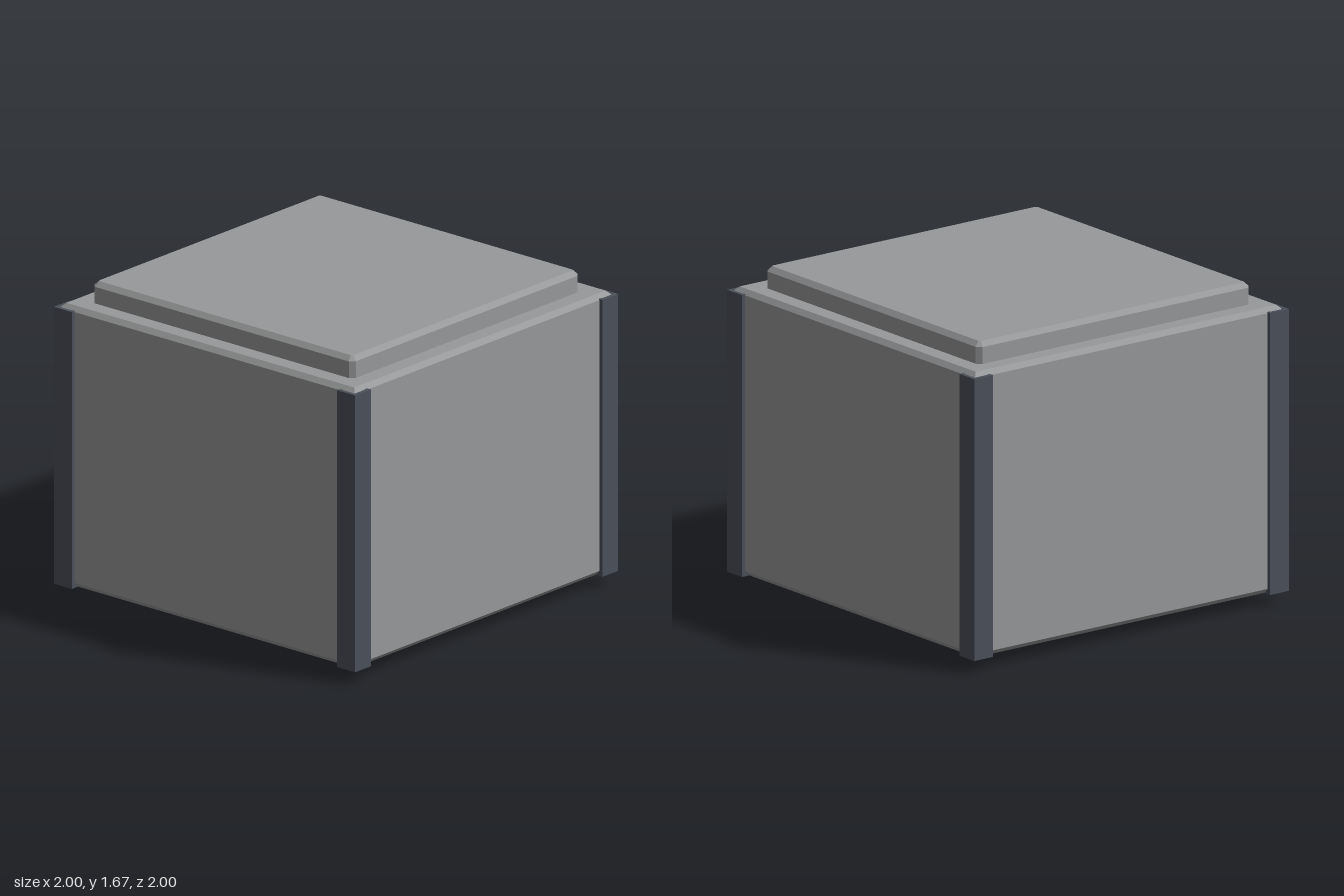
import * as THREE from 'three';

export function createModel() {
  const model = new THREE.Group();
  const mat = (name, color, side = THREE.FrontSide) => {
    const m = new THREE.MeshStandardMaterial({ color, flatShading: true, side });
    m.name = name;
    return m;
  };
  const concrete = mat('concrete grey', 0x98999a);
  const steel = mat('slate steel', 0x4b505a);
  const stone = mat('rubble stone', 0x787b7b);
  const debris = mat('broken underside', 0x868787, THREE.DoubleSide);
  const rust = mat('rusty iron', 0x52291e);

  const add = (name, geometry, material, x = 0, y = 0, z = 0) => {
    const mesh = new THREE.Mesh(geometry, material);
    mesh.name = name;
    mesh.position.set(x, y, z);
    model.add(mesh);
    return mesh;
  };
  // repeatable noise from a position, 0 to 1
  const hash = (x, y, z) => {
    const s = Math.sin(x * 127.1 + y * 311.7 + z * 74.7) * 43758.5453;
    return s - Math.floor(s);
  };
  const loop = (points) => points.map(([x, y]) => new THREE.Vector2(x, y));
  const square = (r) => loop([[-r, -r], [r, -r], [r, r], [-r, r]]);

  // hollow block, open below, with chamfered top and bottom edges
  const profile = loop([
    [0, 1.45], [0.95, 1.45], [0.95, 0.067], [0.957, 0.067], [0.98, 0.092],
    [0.98, 1.53], [0.955, 1.555], [0, 1.555],
  ].map(([r, y]) => [r * Math.SQRT2, y]));
  add('blockShell', new THREE.LatheGeometry(profile, 4).rotateY(Math.PI / 4), concrete);

  // raised top slab with bevelled edges
  const b = 0.025, h = 0.868 - b, c = h - 0.01;
  const outline = new THREE.Shape(loop([
    [-c, -h], [c, -h], [h, -c], [h, c], [c, h], [-c, h], [-h, c], [-h, -c],
  ]));
  const slab = new THREE.ExtrudeGeometry(outline, {
    depth: 0.14 - 2 * b, bevelEnabled: true, bevelSegments: 1, bevelSize: b, bevelThickness: b,
  });
  slab.rotateX(-Math.PI / 2);
  add('topSlab', slab, concrete, 0, 1.528 + b, 0);

  // hollow square corner posts
  const tube = new THREE.Shape(square(0.06));
  tube.holes.push(new THREE.Path(square(0.04)));
  const postGeometry = new THREE.ExtrudeGeometry(tube, { depth: 1.47, bevelEnabled: false });
  postGeometry.rotateX(-Math.PI / 2);
  for (const x of [-0.94, 0.94]) {
    for (const z of [-0.94, 0.94]) {
      add('cornerPost', postGeometry, steel, x, 0.065, z);
    }
  }

  // jagged broken surface inside the open bottom, with a torn rim
  const sheet = new THREE.PlaneGeometry(1.9, 1.9, 7, 7).rotateX(Math.PI / 2);
  const p = sheet.attributes.position;
  for (let i = 0; i < p.count; i++) {
    const x = p.getX(i), z = p.getZ(i);
    const inner = Math.max(Math.abs(x), Math.abs(z)) < 0.9;
    const corner = Math.pow(Math.abs(x * z), 3) * 0.25;
    const wander = inner ? 0.22 : 0;
    p.setXYZ(i,
      x + (hash(x, 1, z) - 0.5) * wander,
      0.09 + hash(x, 2, z) * (inner ? 0.22 : 0.28) + corner,
      z + (hash(x, 3, z) - 0.5) * wander);
  }
  add('brokenUnderside', sheet, debris);

  // rubble: x, z, radius
  const rocks = [
    [0.72, -0.45, 0.18], [0.7, -0.77, 0.09], [0.14, -0.53, 0.1], [0.06, -0.77, 0.09],
    [-0.16, -0.8, 0.1], [-0.54, -0.73, 0.18], [-0.75, -0.41, 0.14], [-0.55, -0.31, 0.09],
    [-0.54, 0.37, 0.19], [0.16, 0.42, 0.18], [0.3, 0.66, 0.16], [0.48, 0.74, 0.12],
    [0.76, 0.29, 0.07], [0.74, 0.07, 0.11], [0.63, -0.25, 0.17], [0.27, 0, 0.12],
    [-0.08, 0.06, 0.12], [-0.2, 0.62, 0.14], [-0.62, 0.48, 0.12], [0.56, 0, 0.13],
    [-0.78, 0.6, 0.1], [0, 0.42, 0.12],
  ];
  rocks.forEach(([x, z, r], n) => {
    // one corner of each stone points straight down
    const g = new THREE.IcosahedronGeometry(1, r > 0.175 ? 1 : 0);
    g.rotateX(-Math.atan((1 + Math.sqrt(5)) / 2));
    const q = g.attributes.position;
    for (let i = 0; i < q.count; i++) {
      const k = [q.getX(i), q.getY(i), q.getZ(i)].map((v) => Math.round(v * 100) / 100 + 0);
      const s = 0.8 + 0.3 * hash(k[0] + n, k[1], k[2]);
      q.setXYZ(i, q.getX(i) * s, q.getY(i) * s, q.getZ(i) * s);
    }
    g.rotateY(n * 1.7);
    g.scale(r * 1.1, r * 0.7, r);
    g.computeBoundingBox();
    const low = n === 14 ? 0 : 0.012 + 0.04 * hash(n, 5, 9);
    add('rubbleRock', g, stone, x, low - g.boundingBox.min.y, z);
  });

  // rusty bars poking out of the rubble: from, to
  const bars = [
    [[0.06, 0.08, -0.68], [0.07, 0.34, -0.68]],
    [[0.64, 0.08, 0.58], [0.64, 0.22, 0.58]],
    [[0.34, 0.08, 0.4], [0.45, 0.1, 0.1]],
    [[0.48, 0.08, 0.1], [0.02, 0.1, 0.1]],
    [[0.38, 0.08, 0.14], [0.08, 0.13, 0.2]],
    [[0.25, 0.08, -0.15], [-0.18, 0.1, -0.27]],
    [[0.15, 0.08, -0.18], [0.17, 0.28, -0.2]],
    [[0.24, 0.08, -0.08], [0.2, 0.22, -0.1]],
    [[-0.03, 0.08, 0.58], [-0.12, 0.11, 0.34]],
    [[-0.51, 0.08, -0.08], [-0.5, 0.22, -0.06]],
    [[-0.57, 0.08, -0.58], [-0.56, 0.2, -0.56]],
  ];
  for (const [a, e] of bars) {
    const from = new THREE.Vector3(...a), to = new THREE.Vector3(...e);
    const bar = add('rustyBar', new THREE.BoxGeometry(0.06, 0.045, from.distanceTo(to)), rust);
    bar.position.copy(from).lerp(to, 0.5);
    bar.lookAt(to);
  }
  return model;
}
